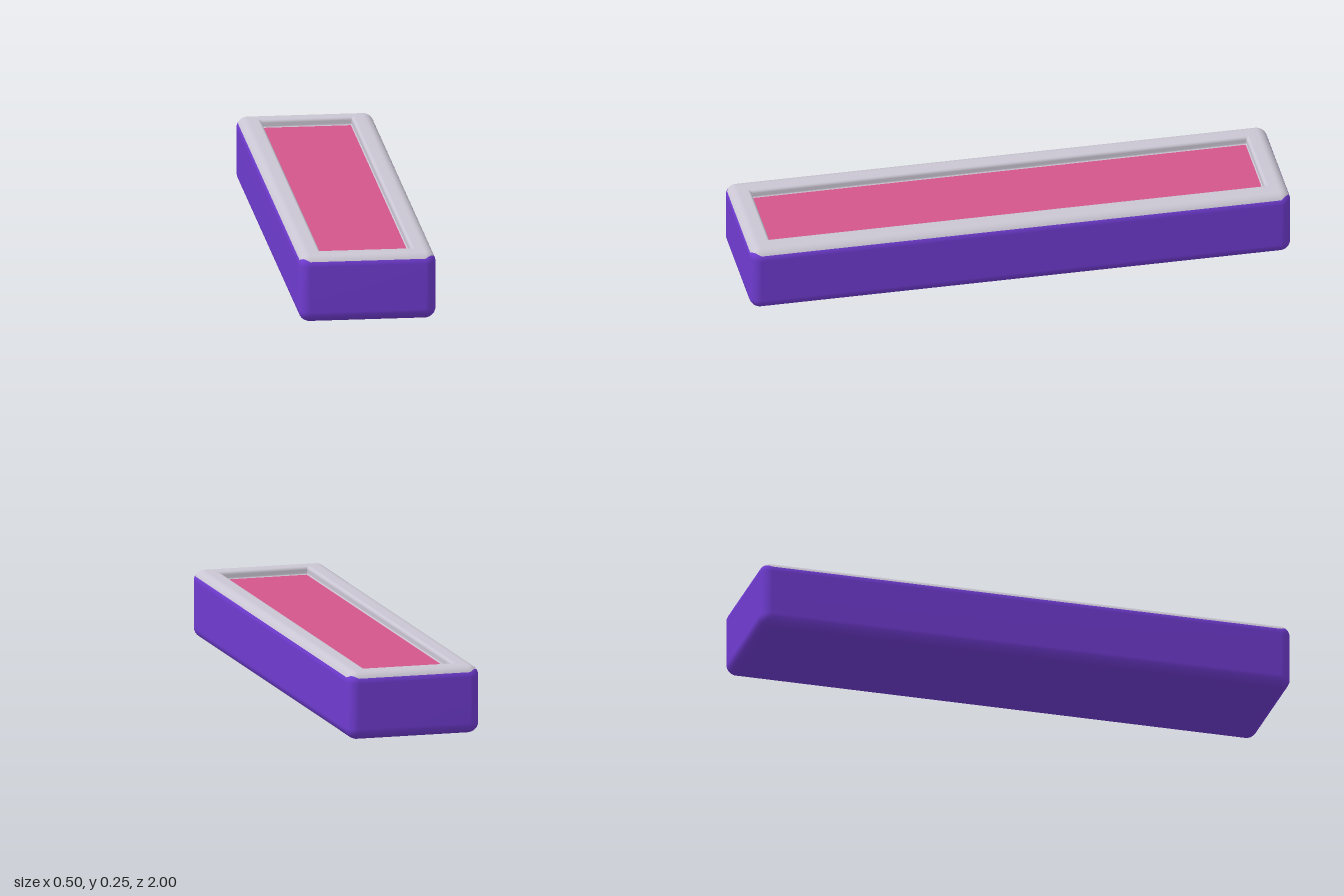
import * as THREE from 'three';

const HX = 0.25, HZ = 1, H = 0.25; // half width, half length, height
const R = 0.04;                    // outer edge rounding
const CORNER = 8;                  // segments per plan corner
const ARC = 6;                     // segments per profile arc

const mat = (name, color) => {
  const m = new THREE.MeshStandardMaterial({ color });
  m.name = name;
  return m;
};

// Arc of [inset, y] pairs, angles in degrees
function arc(cx, cy, r, from, to, n = ARC) {
  return Array.from({ length: n + 1 }, (_, i) => {
    const a = THREE.MathUtils.degToRad(from + (to - from) * i / n);
    return [cx - r * Math.cos(a), cy + r * Math.sin(a)];
  });
}

// Section from underside to colour split; the split rises a little at corners
const splitAngle = (bulge) => 27 + 14 * bulge;
const lowerProfile = (bulge) => [
  [HX - 0.004, 0],
  ...arc(R, R, R, -90, 0),
  ...arc(R, H - R, R, 0, splitAngle(bulge)),
];
// Section over the rim, around the inner lip and down to the recess floor
const upperProfile = (bulge) => [
  ...arc(R, H - R, R, splitAngle(bulge), 90),
  ...arc(0.073, H - 0.012, 0.012, 90, 180),
  ...arc(0.091, 0.226, 0.006, 0, -90, 4),
];

// Sweep the whole section around a rounded rectangle
function createShell() {
  const positions = [], index = [];
  const lowerRows = lowerProfile(0).length;
  const columns = 4 * (CORNER + 1);
  const rows = lowerRows + upperProfile(0).length - 1;
  for (let q = 0; q < 4; q++) {
    for (let i = 0; i <= CORNER; i++) {
      const a = (q + i / CORNER) * Math.PI / 2;
      const sx = q === 0 || q === 3 ? 1 : -1, sz = q < 2 ? 1 : -1;
      const bulge = Math.sin(Math.PI * i / CORNER);
      const section = [...lowerProfile(bulge), ...upperProfile(bulge).slice(1)];
      for (const [d, y] of section) {
        const r = Math.max(R - d, 0.002);
        positions.push(
          sx * (HX - d - r) + r * Math.cos(a), y,
          sz * (HZ - d - r) + r * Math.sin(a));
      }
    }
  }
  // Row by row, so that each colour is one run of faces
  for (let k = 0; k < rows - 1; k++) {
    for (let c = 0; c < columns; c++) {
      const a = c * rows + k, b = ((c + 1) % columns) * rows + k;
      index.push(a, a + 1, b, b, a + 1, b + 1);
    }
  }
  const g = new THREE.BufferGeometry();
  g.setAttribute('position', new THREE.Float32BufferAttribute(positions, 3));
  g.setIndex(index);
  const split = (lowerRows - 1) * columns * 6;
  g.addGroup(0, split, 0);
  g.addGroup(split, index.length - split, 1);
  g.computeVertexNormals();
  return g;
}

export function createModel() {
  const purple = mat('purple body', 0x6f3bd0);
  const grey = mat('light grey rim', 0xc9c5d2);
  const pink = mat('pink panel', 0xd4568c);
  const model = new THREE.Group();
  model.name = 'trayBlock';

  // Rounded body with its raised rim
  const shell = new THREE.Mesh(createShell(), [purple, grey]);
  shell.name = 'bodyAndRim';
  model.add(shell);

  // Closes the narrow gap left in the middle of the underside
  const underside = new THREE.Mesh(new THREE.PlaneGeometry(0.01, 1.51), purple);
  underside.name = 'undersideStrip';
  underside.rotation.x = Math.PI / 2;
  model.add(underside);

  // Recessed panel inside the rim
  const panel = new THREE.Mesh(new THREE.PlaneGeometry(0.33, 1.83), pink);
  panel.name = 'recessedPanel';
  panel.rotation.x = -Math.PI / 2;
  panel.position.y = 0.2205;
  model.add(panel);
  return model;
}
